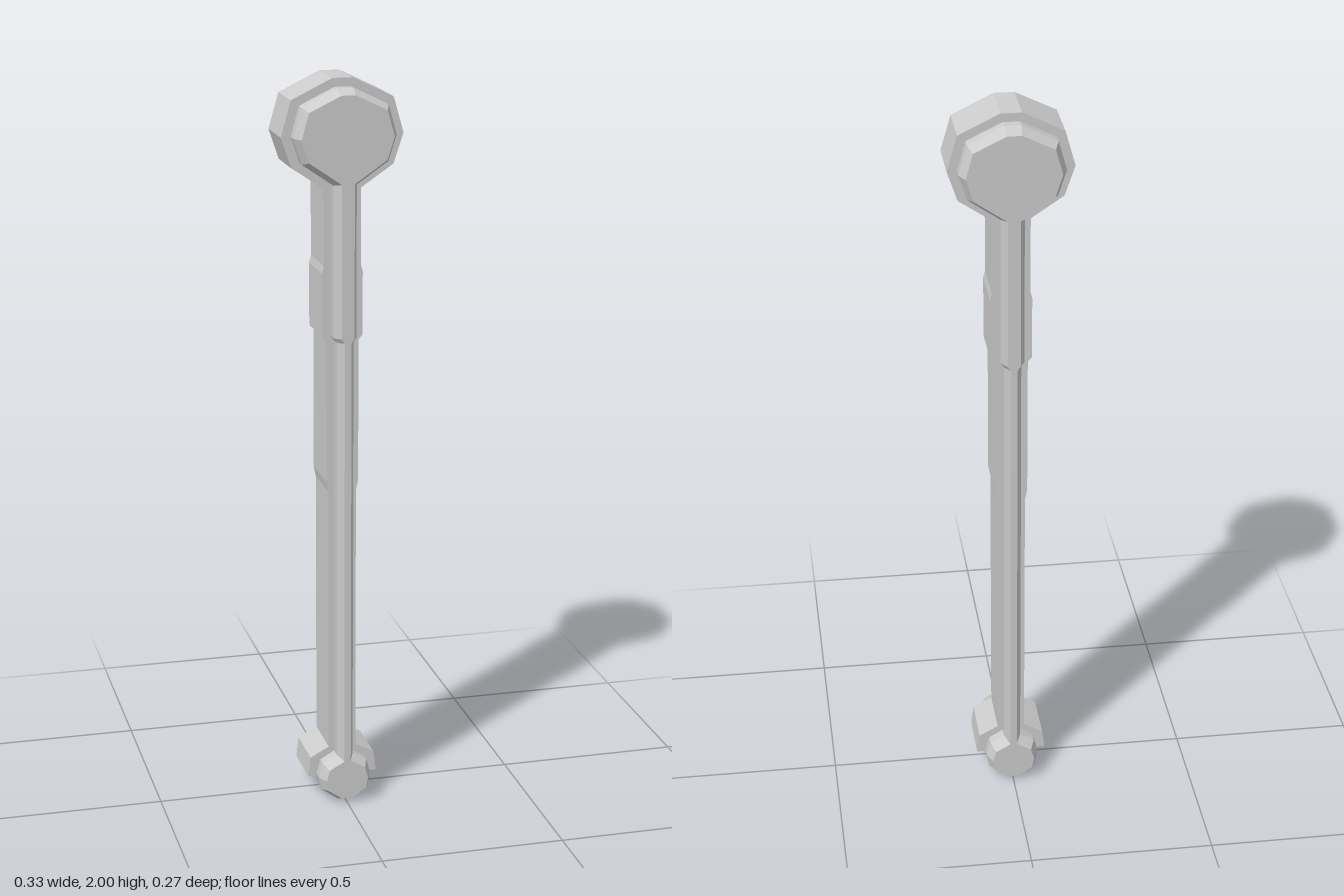
import * as THREE from 'three';

const material = new THREE.MeshStandardMaterial({ color: 0xcccccc, flatShading: true });

// Mirror a right-hand profile (top to bottom) into a closed symmetric outline
function mirrored(half) {
  const left = half.map(([x, y]) => [-x, y]).reverse();
  return new THREE.Shape([...half, ...left].map(([x, y]) => new THREE.Vector2(x, y)));
}

// Extrude an outline evenly about z = 0, with an optional chamfer kept inside it
function slab(name, half, halfDepth, chamfer = 0, chamferDepth = 0) {
  const depth = 2 * (halfDepth - chamferDepth);
  const geometry = new THREE.ExtrudeGeometry(mirrored(half), {
    depth,
    bevelEnabled: chamfer > 0,
    bevelSegments: 1,
    bevelSize: chamfer,
    bevelOffset: -chamfer,
    bevelThickness: chamferDepth,
  });
  geometry.translate(0, 0, -depth / 2);
  const mesh = new THREE.Mesh(geometry, material);
  mesh.name = name;
  return mesh;
}

export function createModel() {
  const group = new THREE.Group();
  group.name = 'handle';

  // Deep chamfered core: round head, stepped shaft and small foot
  const core = [
    [0.022, 1.977], [0.115, 1.932], [0.137, 1.853], [0.115, 1.785], [0.031, 1.727],
    [0.031, 1.322], [0.023, 1.31], [0.023, 0.135],
    [0.062, 0.112], [0.073, 0.072], [0.066, 0.035], [0.02, 0.002],
  ];
  group.add(slab('core', core, 0.134, 0.014, 0.034));

  // Wider middle band following the core, open below the foot
  const band = [
    [0.027, 2], [0.136, 1.947], [0.163, 1.852], [0.136, 1.772], [0.05, 1.714],
    [0.05, 1.51], [0.055, 1.49], [0.055, 1.32], [0.044, 1.308],
    [0.044, 0.92], [0.038, 0.89], [0.038, 0.148],
    [0.09, 0.12], [0.097, 0.065], [0.04, 0.065],
  ];
  group.add(slab('middleBand', band, 0.072));

  return group;
}
